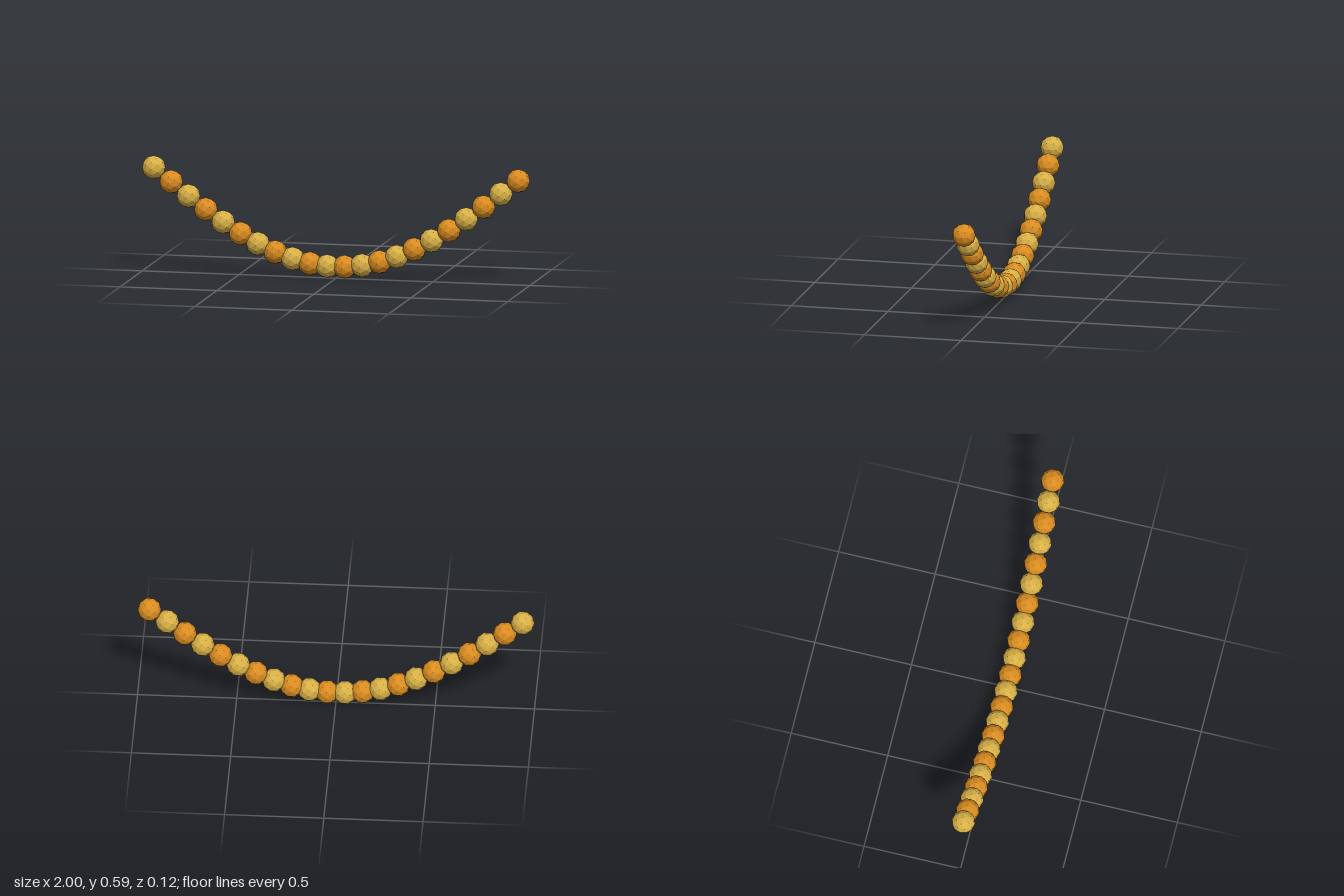
import * as THREE from 'three';

export function createModel() {
  const group = new THREE.Group();
  group.name = 'garland';

  const gold = new THREE.MeshStandardMaterial({ color: 0xd8b046, flatShading: true });
  gold.name = 'gold';
  const orange = new THREE.MeshStandardMaterial({ color: 0xda8c20, flatShading: true });
  orange.name = 'marigold orange';

  // Faceted beads strung along a sagging sine curve, in alternating colours
  const count = 22;
  const radius = 0.06;
  const halfSpan = 1 - radius;
  const endHeight = 0.531;
  const sag = 0.472;
  const beadShape = new THREE.IcosahedronGeometry(radius, 1);

  for (let i = 0; i < count; i++) {
    const t = i / (count - 1);
    const isGold = i % 2 === 0;
    const bead = new THREE.Mesh(beadShape, isGold ? gold : orange);
    bead.name = isGold ? 'goldBead' : 'orangeBead';
    bead.position.set(halfSpan * (2 * t - 1), endHeight - sag * Math.sin(Math.PI * t), 0);
    group.add(bead);
  }

  return group;
}
